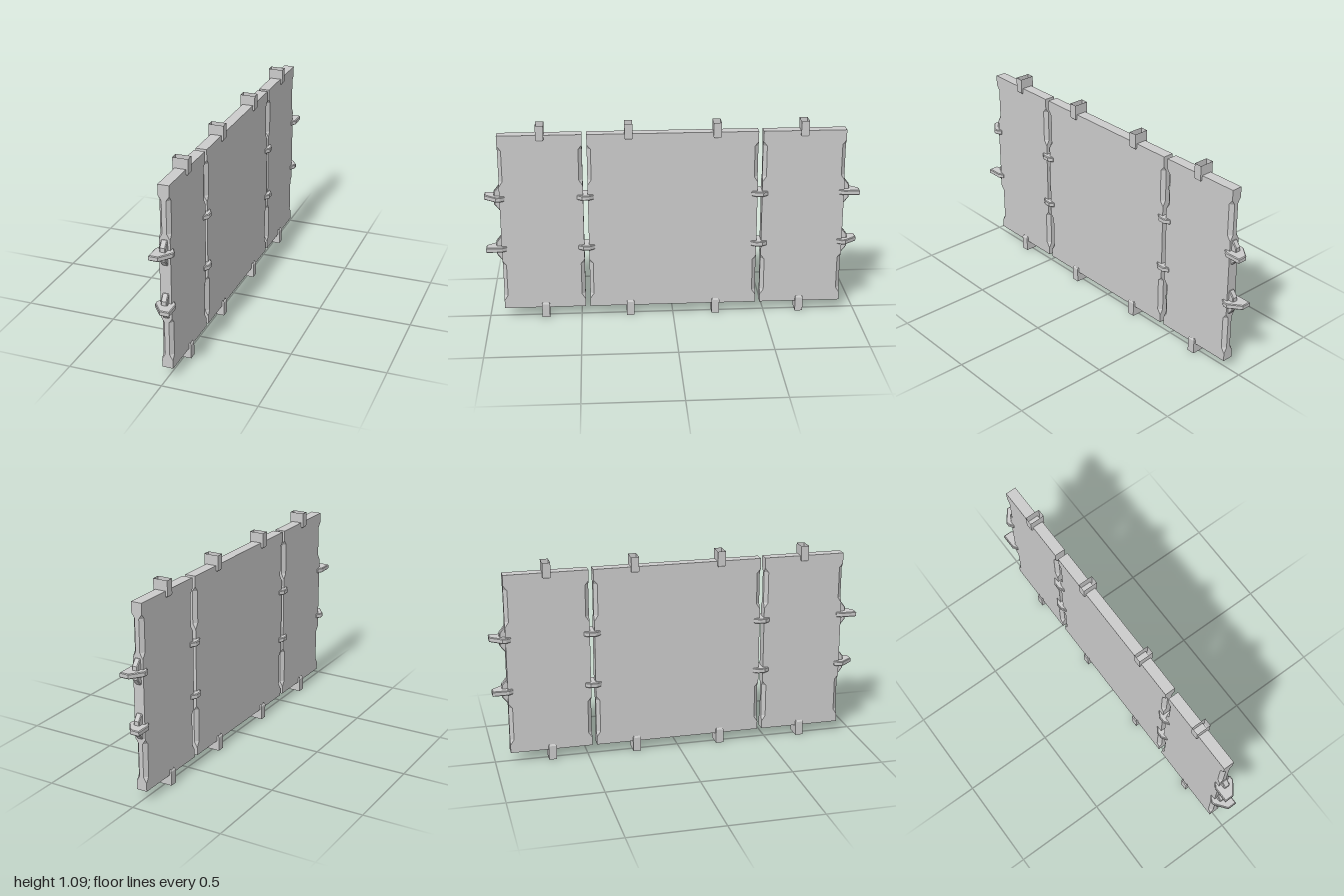
import * as THREE from 'three';

const grey = new THREE.MeshStandardMaterial({ color: 0xcccccc, flatShading: true });
const greyOpen = new THREE.MeshStandardMaterial({ color: 0xcccccc, flatShading: true, side: THREE.DoubleSide });

// Rectangle in x/z with its corners cut by cx and cz
function section(y, hx, hz, cx, cz) {
  return [
    [hx, -hz + cz], [hx, hz - cz], [hx - cx, hz], [-hx + cx, hz],
    [-hx, hz - cz], [-hx, -hz + cz], [-hx + cx, -hz], [hx - cx, -hz],
  ].map(([x, z]) => new THREE.Vector3(x, y, z));
}

// Skin over a stack of sections, bottom to top
function loft(sections, caps) {
  const pts = [];
  const n = sections[0].length;
  for (let s = 0; s < sections.length - 1; s++) {
    const lo = sections[s], hi = sections[s + 1];
    for (let i = 0; i < n; i++) {
      const j = (i + 1) % n;
      pts.push(lo[i], hi[i], hi[j], lo[i], hi[j], lo[j]);
    }
  }
  if (caps) {
    const lo = sections[0], hi = sections[sections.length - 1];
    for (let i = 1; i < n - 1; i++) pts.push(lo[0], lo[i], lo[i + 1], hi[0], hi[i + 1], hi[i]);
  }
  const g = new THREE.BufferGeometry().setFromPoints(pts);
  g.computeVertexNormals();
  return g;
}

// Flat plate lying in x/z, softly bevelled, centred on y = 0
function plate(points, thickness) {
  const b = 0.004;
  const shape = new THREE.Shape(points.map(([x, z]) => new THREE.Vector2(x, z)));
  const g = new THREE.ExtrudeGeometry(shape, {
    depth: thickness - 2 * b, bevelThickness: b, bevelSize: b, bevelOffset: -b, bevelSegments: 1,
  });
  g.translate(0, 0, -(thickness - 2 * b) / 2);
  return g.rotateX(Math.PI / 2);
}

export function createModel() {
  const model = new THREE.Group();
  const add = (name, geometry, x, y, z, material = grey, parent = model) => {
    const mesh = new THREE.Mesh(geometry, material);
    mesh.name = name;
    mesh.position.set(x, y, z);
    parent.add(mesh);
    return mesh;
  };

  // Three wall panels with chamfered stretches on their upright edges
  const levels = [
    [0.056, 0], [0.1, 0], [0.13, 1], [0.31, 1], [0.335, 0],
    [0.755, 0], [0.785, 1], [0.955, 1], [0.98, 0], [1.036, 0],
  ];
  const panel = (name, z0, z1) => {
    const rings = levels.map(([y, c]) => section(y, 0.029, (z1 - z0) / 2, 0.017 * c, 0.02 * c));
    add(name, loft(rings, true), 0, 0, (z0 + z1) / 2);
  };
  panel('frontPanel', 0.477, 0.918);
  panel('middlePanel', -0.452, 0.452);
  panel('backPanel', -0.918, -0.477);

  // Open sleeves along the top and bottom edges
  const sleeve = loft([
    section(-0.043, 0.034, 0.016, 0, 0),
    section(-0.034, 0.04, 0.021, 0, 0),
    section(0.043, 0.04, 0.021, 0, 0),
  ], false);
  for (const z of [-0.695, -0.233, 0.233, 0.695]) {
    add('topSleeve', sleeve, 0, 1.047, z, greyOpen);
    add('bottomSleeve', sleeve, 0, 0.043, z, greyOpen).rotation.x = Math.PI;
  }

  // Joint clips across the two seams
  const clip = plate([
    [0.05, -0.018], [0.05, 0.018], [0.032, 0.044], [-0.032, 0.044],
    [-0.05, 0.018], [-0.05, -0.018], [-0.032, -0.044], [0.032, -0.044],
  ], 0.027);
  const heights = [0.405, 0.69];
  for (const z of [-0.464, 0.464]) {
    for (const y of heights) add('seamClip', clip, 0, y, z);
  }

  // Half hooks with one slanted corner, mirrored between the two heights
  const hook = (s) => {
    const pts = [
      [-0.05, 1], [0, 1], [0.05, 0.935], [0.05, 0.915],
      [0.034, 0.89], [-0.034, 0.89], [-0.05, 0.915],
    ];
    return plate(pts.map(([x, z]) => [x * s, z]), 0.027);
  };

  // Upright tapered rib behind each hook
  const ribShape = new THREE.Shape([
    [0.9, -0.067], [0.922, -0.067], [0.947, -0.035], [0.947, 0.035], [0.922, 0.067], [0.9, 0.067],
  ].map(([z, y]) => new THREE.Vector2(z, y)));
  const rib = new THREE.ExtrudeGeometry(ribShape, {
    depth: 0.024, bevelThickness: 0.004, bevelSize: 0.004, bevelOffset: -0.004, bevelSegments: 1,
  });
  rib.translate(0, 0, -0.012).rotateY(-Math.PI / 2);

  for (const [name, turn] of [['frontEnd', 0], ['backEnd', Math.PI]]) {
    const end = new THREE.Group();
    end.name = name;
    end.rotation.y = turn;
    model.add(end);
    heights.forEach((y, i) => {
      add('endHook', hook(i ? 1 : -1), 0, y, 0, grey, end);
      add('endRib', rib, 0, y, 0, grey, end);
    });
  }
  return model;
}
